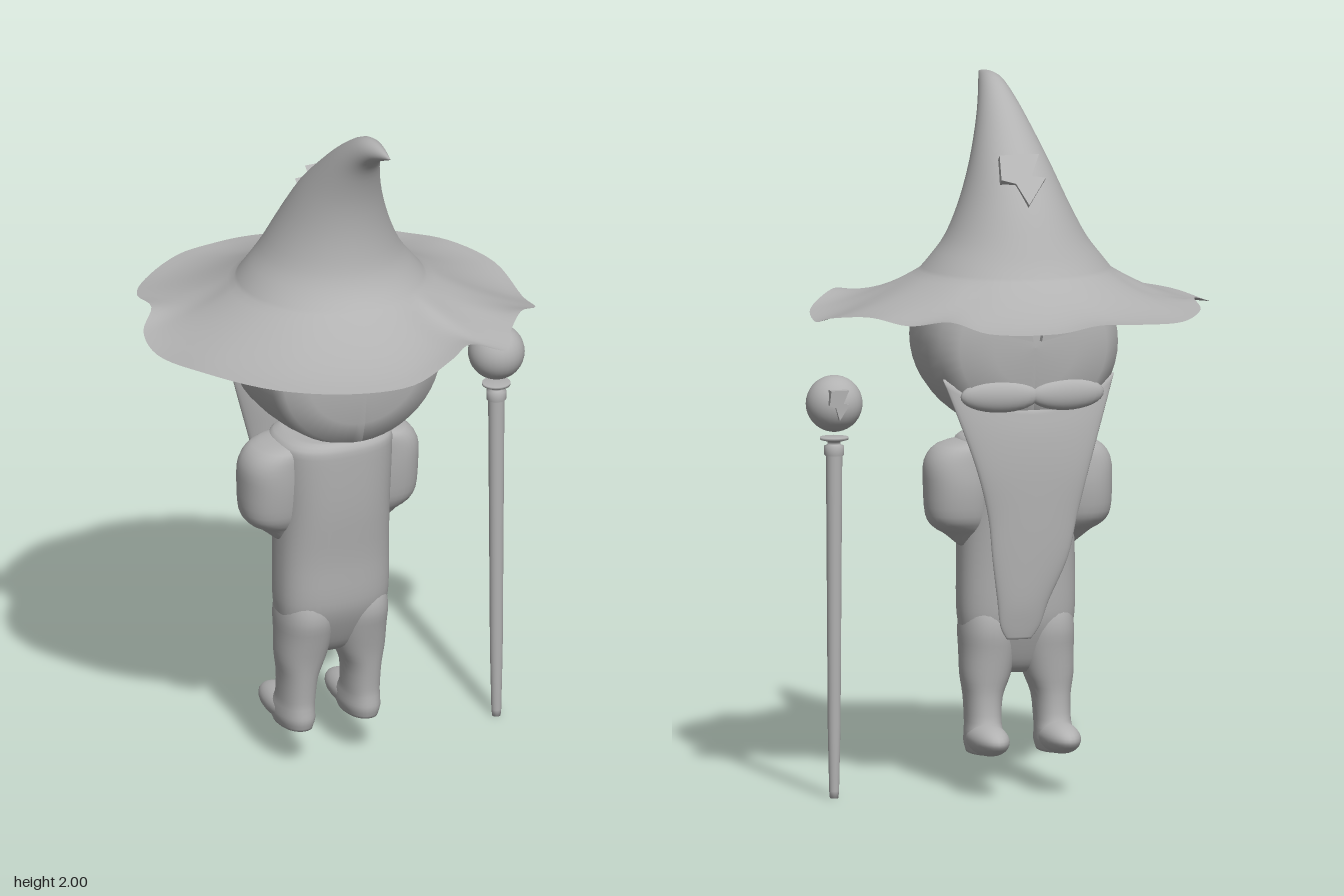
import * as THREE from 'three';

const grey = new THREE.MeshStandardMaterial({ color: 0xb2b2b2, side: THREE.DoubleSide });
grey.name = 'plain grey';
const CX = -0.03; // the figure stands slightly off centre, beside its staff

const V = (x, y, z) => new THREE.Vector3(x, y, z);

function add(parent, name, geometry, x = 0, y = 0, z = 0) {
  const mesh = new THREE.Mesh(geometry, grey);
  mesh.name = name;
  mesh.position.set(x, y, z);
  parent.add(mesh);
  return mesh;
}

// Smooth skin over closed rings of points, listed from top to bottom
function loft(rings, capBottom = true) {
  const n = rings[0].length;
  const pinch = (ring) => {
    const c = V(0, 0, 0);
    ring.forEach((p) => c.addScaledVector(p, 1 / n));
    return ring.map(() => c);
  };
  const all = [pinch(rings[0]), ...rings];
  if (capBottom) all.push(pinch(rings[rings.length - 1]));
  const index = [];
  for (let i = 0; i < all.length - 1; i++) {
    for (let j = 0; j < n; j++) {
      const k = (j + 1) % n;
      const a = i * n + j, b = i * n + k, c = a + n, d = b + n;
      index.push(a, b, c, b, d, c);
    }
  }
  const g = new THREE.BufferGeometry().setFromPoints(all.flat());
  g.setIndex(index);
  g.computeVertexNormals();
  return g;
}

// Superellipse ring in a level plane
function ring(cx, y, rx, zBack, zFront, power = 1, n = 40) {
  const soft = (v) => Math.sign(v) * Math.abs(v) ** power;
  return Array.from({ length: n }, (_, j) => {
    const a = (j / n) * Math.PI * 2;
    return V(cx + rx * soft(Math.cos(a)), y,
      (zBack + zFront) / 2 + ((zBack - zFront) / 2) * soft(Math.sin(a)));
  });
}

// Smooth interpolation between the rows of a small table
function smoothRows(rows, steps) {
  const columns = rows[0].length;
  const out = [];
  for (let s = 0; s <= (rows.length - 1) * steps; s++) {
    const i = Math.min(Math.floor(s / steps), rows.length - 2), t = s / steps - i;
    const at = (k) => rows[Math.max(0, Math.min(rows.length - 1, k))];
    out.push(Array.from({ length: columns }, (_, c) => {
      const p0 = at(i - 1)[c], p1 = at(i)[c], p2 = at(i + 1)[c], p3 = at(i + 2)[c];
      return 0.5 * (2 * p1 + (p2 - p0) * t + (2 * p0 - 5 * p1 + 4 * p2 - p3) * t * t
        + (3 * p1 - p0 - 3 * p2 + p3) * t * t * t);
    }));
  }
  return out;
}

function hatGeometry() {
  // wavy brim edge: x, y, z
  const edge = new THREE.CatmullRomCurve3([
    [0.53, 1.335, 0.08], [0.51, 1.355, 0.2], [0.42, 1.395, 0.29], [0.355, 1.38, 0.36],
    [0.3, 1.36, 0.44], [0.2, 1.39, 0.42], [0.1, 1.395, 0.5], [-0.05, 1.37, 0.56],
    [-0.22, 1.365, 0.53], [-0.41, 1.37, 0.42], [-0.54, 1.37, 0.22], [-0.592, 1.36, 0.03],
    [-0.57, 1.375, -0.1], [-0.5, 1.4, -0.19], [-0.485, 1.385, -0.31], [-0.4, 1.37, -0.43],
    [-0.25, 1.38, -0.52], [-0.13, 1.385, -0.535], [0, 1.37, -0.565], [0.19, 1.37, -0.515],
    [0.28, 1.395, -0.43], [0.38, 1.38, -0.375], [0.46, 1.39, -0.25], [0.53, 1.37, -0.1],
  ].map((p) => V(...p)), true).getPoints(120).slice(0, 120);
  // cone sections: back z, back y, front z, front y, half width
  const cone = smoothRows([
    [0.37, 1.983, 0.362, 1.987, 0.002], [0.33, 1.965, 0.28, 1.998, 0.019],
    [0.29, 1.945, 0.2, 1.988, 0.036], [0.25, 1.912, 0.1, 1.93, 0.056],
    [0.22, 1.86, 0, 1.85, 0.08], [0.195, 1.77, -0.09, 1.765, 0.112],
    [0.188, 1.67, -0.165, 1.66, 0.152], [0.2, 1.575, -0.215, 1.57, 0.197],
    [0.227, 1.515, -0.245, 1.515, 0.24], [0.262, 1.475, -0.272, 1.475, 0.272],
  ], 3).map(([bz, by, fz, fy, w]) => edge.map((p) => {
    const a = Math.atan2(p.z, p.x - CX), s = Math.sin(a);
    return V(CX + w * Math.cos(a), (by + fy) / 2 + (s * (by - fy)) / 2,
      (bz + fz) / 2 + (s * (bz - fz)) / 2);
  }));
  const foot = cone[cone.length - 1];
  const brim = [0.07, 0.15, 0.25, 0.37, 0.5, 0.63, 0.76, 0.88, 1].map((t) => edge.map((p, j) => {
    const q = foot[j].clone().lerp(p, t);
    q.y = 1.475 - 0.095 * (1 - (1 - t) ** 1.9) + (p.y - 1.38) * t * t;
    return q;
  }));
  return loft([...cone, ...brim], false);
}

function headGeometry() {
  const g = new THREE.LatheGeometry([
    [0.001, -0.215], [0.12, -0.21], [0.215, -0.192], [0.26, -0.145], [0.277, -0.07], [0.28, 0],
    [0.276, 0.08], [0.266, 0.15], [0.247, 0.195], [0.18, 0.213], [0.09, 0.222], [0.001, 0.225],
  ].map((p) => new THREE.Vector2(...p)), 48);
  g.rotateX(Math.PI / 2);
  const pos = g.attributes.position;
  for (let i = 0; i < pos.count; i++) {
    const y = pos.getY(i);
    pos.setY(i, y * 0.94);
  }
  g.computeVertexNormals();
  return g;
}

function beardGeometry() {
  // centre x, y, half width, rise of the side ends, z, half thickness
  const rows = smoothRows([
    [-0.03, 1.1, 0.25, 0.09, -0.185, 0.012], [-0.03, 1.03, 0.205, 0.03, -0.185, 0.025],
    [-0.03, 0.93, 0.163, 0, -0.19, 0.028], [-0.028, 0.8, 0.13, 0, -0.193, 0.026],
    [-0.02, 0.68, 0.11, 0, -0.194, 0.023], [0, 0.56, 0.075, 0, -0.192, 0.02],
    [0.008, 0.49, 0.058, 0, -0.19, 0.013], [0.012, 0.452, 0.035, 0, -0.19, 0.006],
  ], 4);
  return loft(rows.map(([cx, y, w, rise, z, d]) => ring(cx, y, w, z + d, z - d).map((p) => {
    const u = (p.x - cx) / w;
    return V(p.x, p.y + rise * u * u, p.z + rise * 0.5 * u * u);
  })));
}

function plate(points, depth) {
  const shape = new THREE.Shape(points.map((p) => new THREE.Vector2(...p)));
  return new THREE.ExtrudeGeometry(shape, { depth, bevelEnabled: false });
}

const BOLT = [[0.06, 0.085], [-0.055, 0.085], [-0.02, 0.012], [-0.06, 0.005],
  [0.005, -0.085], [0.03, -0.012], [0.07, 0.002]];

export function createModel() {
  const model = new THREE.Group();

  // Hat and its zigzag badge
  add(model, 'hat', hatGeometry());
  const badge = add(model, 'hatBadge', plate(BOLT, 0.03), CX, 1.742, -0.112);
  badge.rotation.x = 0.72;

  // Head and facial hair, facing the rear
  add(model, 'head', headGeometry(), CX, 1.28, 0);
  add(model, 'beard', beardGeometry());
  for (const s of [-1, 1]) {
    const lobe = add(model, 'moustacheHalf', new THREE.SphereGeometry(1, 24, 16),
      CX + s * 0.098, 1.143, -0.193);
    lobe.scale.set(0.112, 0.046, 0.03);
    lobe.rotation.y = s * -0.12;
    const brow = [[0.012, 1.3], [0.09, 1.32], [0.2, 1.385], [0.13, 1.37], [0.06, 1.355], [0.025, 1.365]];
    add(model, 'eyebrow', plate(brow.map(([x, y]) => [s * x, y]), 0.03), CX, 0, -0.238);
  }

  // Robed torso, closing between the legs
  const torso = smoothRows([
    [1.018, 0.13, 0.11, -0.125], [1, 0.168, 0.132, -0.148], [0.95, 0.172, 0.135, -0.148],
    [0.8, 0.165, 0.128, -0.135], [0.65, 0.167, 0.112, -0.124], [0.54, 0.168, 0.107, -0.119],
    [0.48, 0.164, 0.098, -0.112], [0.42, 0.15, 0.074, -0.092], [0.36, 0.1, 0.042, -0.066],
    [0.335, 0.05, 0.015, -0.04],
  ], 3);
  add(model, 'torso', loft(torso.map(([y, w, b, f]) => ring(CX, y, w, b, f, 0.8))));

  // Arms, legs and feet
  const arm = smoothRows([
    [1.003, 0.1, 0.05, 0.05, -0.09], [0.985, 0.145, 0.085, 0.07, -0.11],
    [0.94, 0.172, 0.095, 0.075, -0.12], [0.87, 0.176, 0.095, 0.072, -0.125],
    [0.79, 0.176, 0.09, 0.06, -0.115], [0.755, 0.168, 0.077, 0.045, -0.095],
    [0.735, 0.153, 0.06, 0.03, -0.075], [0.7, 0.14, 0.03, 0.01, -0.045],
  ], 3);
  const leg = smoothRows([
    [0.58, 0.075, 0.055, 0.05, -0.065], [0.52, 0.081, 0.074, 0.085, -0.1],
    [0.46, 0.084, 0.08, 0.095, -0.11], [0.4, 0.085, 0.078, 0.082, -0.103],
    [0.33, 0.092, 0.07, 0.065, -0.095], [0.27, 0.099, 0.054, 0.055, -0.09],
    [0.2, 0.101, 0.05, 0.047, -0.098], [0.17, 0.102, 0.052, 0.048, -0.125],
    [0.14, 0.102, 0.053, 0.05, -0.135], [0.113, 0.102, 0.045, 0.042, -0.12],
  ], 3);
  for (const s of [-1, 1]) {
    add(model, 'arm', loft(arm.map(([y, x, w, b, f]) => ring(CX + s * x, y, w, b, f, 0.9, 32))));
    add(model, 'leg', loft(leg.map(([y, x, w, b, f]) => ring(CX + s * x, y, w, b, f, 0.9, 32))));
    const foot = add(model, 'foot', new THREE.SphereGeometry(1, 24, 16),
      CX + s * 0.104, 0.154, -0.085);
    foot.scale.set(0.055, 0.045, 0.125);
  }

  // Staff with collar, globe and small badge
  const staff = new THREE.Group();
  staff.name = 'staff';
  staff.position.set(0.51, 0, -0.045);
  model.add(staff);
  add(staff, 'staffPole', new THREE.LatheGeometry([
    [0.001, 0], [0.012, 0], [0.014, 0.02], [0.018, 0.2], [0.023, 0.97], [0.028, 0.975], [0.028, 1],
    [0.018, 1.004], [0.018, 1.012], [0.04, 1.018], [0.04, 1.025], [0.001, 1.025],
  ].map((p) => new THREE.Vector2(...p)), 24));
  add(staff, 'staffGlobe', new THREE.SphereGeometry(0.08, 28, 18), 0, 1.12, 0);
  const mark = add(staff, 'globeBadge', plate(BOLT, 0.03), 0.005, 1.125, -0.086);
  mark.scale.set(0.45, 0.5, 1);

  return model;
}
